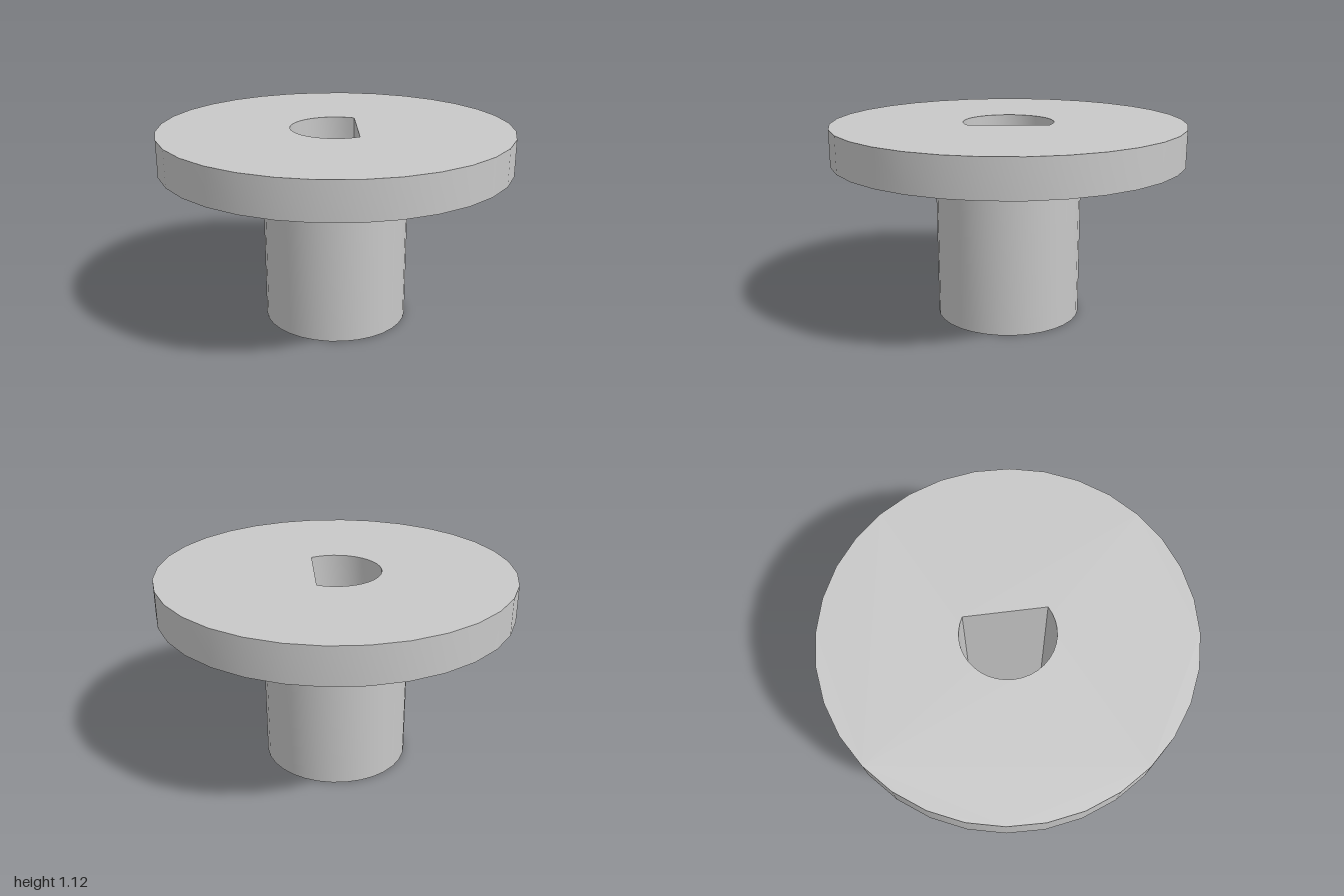
import * as THREE from 'three';
import { toCreasedNormals } from 'three/addons/utils/BufferGeometryUtils.js';

const SQUASH = 0.993; // the discs are very slightly narrower across x

// Points along an arc, angles in degrees
function arc(radius, from, to, steps, closed) {
  const points = [];
  for (let i = 0; i < (closed ? steps : steps + 1); i++) {
    const a = THREE.MathUtils.degToRad(from + ((to - from) * i) / steps);
    points.push(new THREE.Vector2(radius * Math.cos(a) * SQUASH, radius * Math.sin(a)));
  }
  return points;
}

// Round disc standing from y0 to y1, pierced by the D-shaped bore
function boredDisc(name, radius, y0, y1, sides, material) {
  const shape = new THREE.Shape(arc(radius, 0, 360, sides, true));
  shape.holes.push(new THREE.Path(arc(0.257, 24.4, 260.4, 24, false)));
  let geometry = new THREE.ExtrudeGeometry(shape, { depth: y1 - y0, bevelEnabled: false });
  geometry.rotateX(-Math.PI / 2);
  geometry.translate(0, y0, 0);
  geometry = toCreasedNormals(geometry, Math.PI / 6);
  const mesh = new THREE.Mesh(geometry, material);
  mesh.name = name;
  return mesh;
}

export function createModel() {
  const model = new THREE.Group();
  model.name = 'flangedHub';
  const grey = new THREE.MeshStandardMaterial({ color: 0xc8c8c8 });
  grey.name = 'light grey';

  // Hub below, wide flange on top
  model.add(boredDisc('hub', 0.416, 0, 0.92, 32, grey));
  model.add(boredDisc('flange', 1, 0.92, 1.125, 32, grey));
  return model;
}
